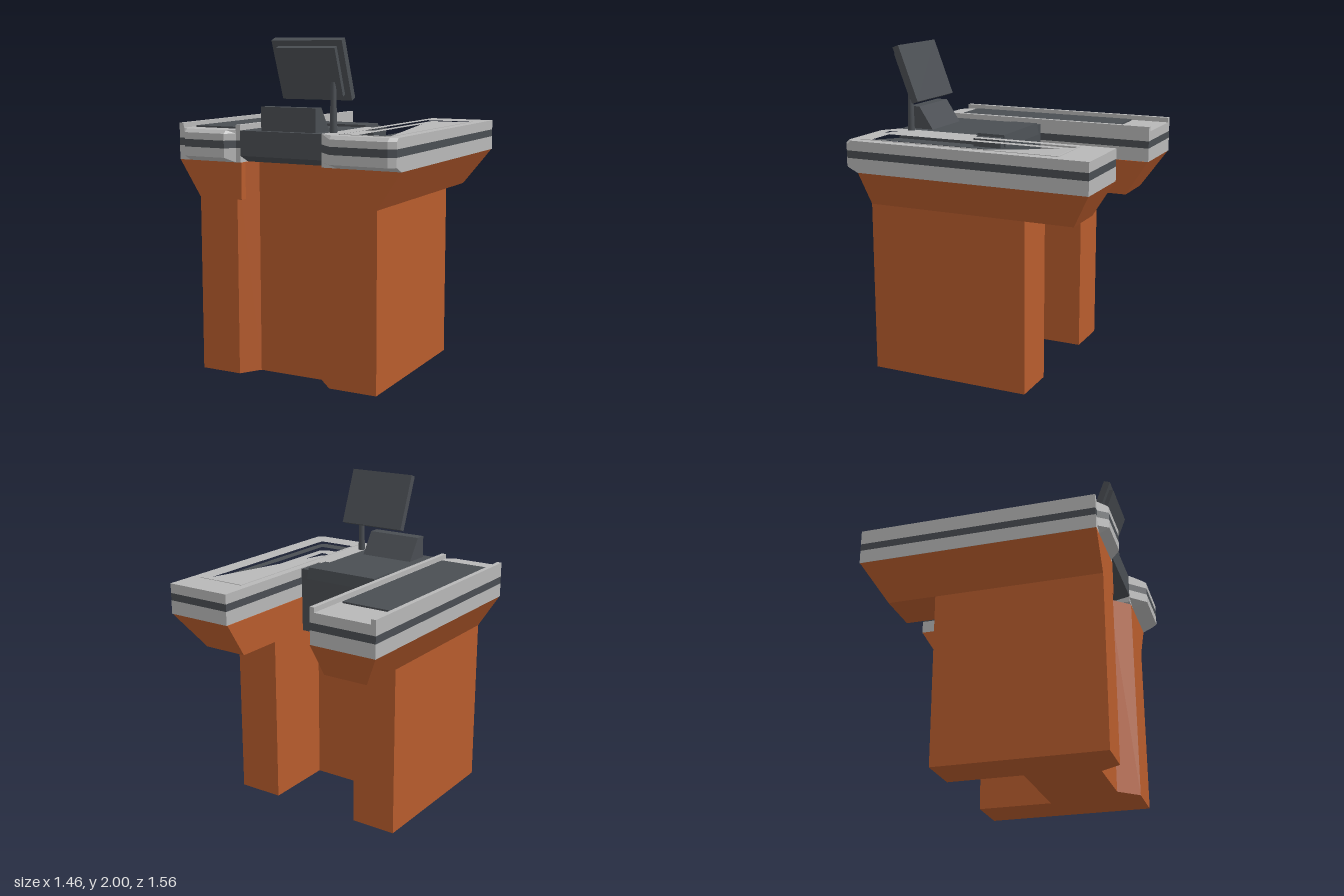
import * as THREE from 'three';

const paint = (name, color) => {
  const m = new THREE.MeshStandardMaterial({ color });
  m.name = name;
  return m;
};

export function createModel() {
  const orange = paint('orange panel', 0xb85c2d);
  const gray = paint('light gray', 0xb8b8b8);
  const dark = paint('dark gray', 0x4a4e53);
  const root = new THREE.Group();
  root.name = 'checkoutCounter';

  const add = (name, geo, mat, parent = root) => {
    const mesh = new THREE.Mesh(geo, mat);
    mesh.name = name;
    parent.add(mesh);
    return mesh;
  };
  const box = (name, x0, x1, y0, y1, z0, z1, mat) => {
    const mesh = add(name, new THREE.BoxGeometry(x1 - x0, y1 - y0, z1 - z0), mat);
    mesh.position.set((x0 + x1) / 2, (y0 + y1) / 2, (z0 + z1) / 2);
    return mesh;
  };
  const rect = (x0, x1, z0, z1) => [[x0, z0], [x1, z0], [x1, z1], [x0, z1]];
  const toPoints = (pts) => pts.map(([x, z]) => new THREE.Vector2(x, -z));

  // Upright prism over an [x, z] outline; rule(v, atTop) may shift its corners
  const slab = (name, pts, y0, y1, mat, { hole, rule } = {}) => {
    const shape = new THREE.Shape(toPoints(pts));
    if (hole) shape.holes.push(new THREE.Path(toPoints(hole)));
    const geo = new THREE.ExtrudeGeometry(shape, { depth: y1 - y0, bevelEnabled: false });
    geo.rotateX(-Math.PI / 2).translate(0, y0, 0);
    if (rule) {
      const p = geo.attributes.position;
      const v = new THREE.Vector3();
      for (let i = 0; i < p.count; i++) {
        v.fromBufferAttribute(p, i);
        rule(v, v.y > (y0 + y1) / 2);
        p.setXYZ(i, v.x, v.y, v.z);
      }
      geo.computeVertexNormals();
    }
    return add(name, geo, mat);
  };

  // U-shaped pedestal with a recessed front
  slab('pedestal', [
    [-0.585, -0.34], [-0.295, -0.34], [-0.295, 0.12], [0.295, 0.12], [0.295, -0.34], [0.585, -0.34],
    [0.585, 0.68], [0.285, 0.68], [0.17, 0.56], [-0.245, 0.56], [-0.325, 0.68], [-0.585, 0.68],
  ], 0, 1.28, orange);

  // Flared supports below both counters
  for (const s of [-1, 1]) {
    slab(s < 0 ? 'beltFlare' : 'trayFlare', rect(s * 0.295, s * 0.728, -0.778, 0.68), 1.06, 1.28, orange, {
      rule: (v, top) => {
        if (top) return;
        if (Math.abs(v.x) > 0.5) v.x = s * 0.585;
        if (v.z < 0) v.z = -0.64;
      },
    });
  }

  // Counter slabs: sloped lower edge, dark stripe band, bevelled upper edge
  const counter = (name, pts, hole) => {
    slab(name + 'Underside', pts, 1.28, 1.31, gray, {
      hole, rule: (v, top) => { if (!top && v.z > 0.68) v.z = 0.68; },
    });
    slab(name + 'Lower', pts, 1.31, 1.365, gray, { hole });
    slab(name + 'Stripe', pts, 1.365, 1.41, dark, { hole });
    slab(name + 'Upper', pts, 1.41, 1.45, gray, { hole });
    slab(name + 'Top', pts, 1.45, 1.47, gray, {
      hole, rule: (v, top) => { if (top && v.z > 0.7) v.z -= 0.025; },
    });
  };
  counter('beltCounter', [
    [-0.73, -0.78], [-0.3, -0.78], [-0.3, 0.68], [-0.33, 0.68], [-0.375, 0.74], [-0.65, 0.74], [-0.695, 0.68], [-0.73, 0.68],
  ]);
  counter('trayCounter', [
    [0.3, -0.78], [0.73, -0.78], [0.73, 0.745], [0.69, 0.778], [0.34, 0.778],
    [0.24, 0.68], [0.24, 0.13], [0.3, 0.13],
  ], rect(0.35, 0.67, -0.58, 0.69));

  // Conveyor belt between side rails
  box('conveyorBelt', -0.67, -0.352, 1.45, 1.48, -0.54, 0.59, dark);
  for (const x of [-0.715, -0.315]) box('beltRail', x - 0.015, x + 0.015, 1.46, 1.5, -0.78, 0.68, gray);

  // Bagging tray: inner walls and a floor sloping down to the front
  slab('trayLiner', rect(0.35, 0.67, -0.58, 0.69), 1.29, 1.473, gray, { hole: rect(0.362, 0.658, -0.568, 0.678) });
  slab('trayFloor', rect(0.355, 0.665, -0.575, 0.685), 1.29, 1.46, gray, {
    rule: (v, top) => { if (top && v.z > 0) v.y = 1.35; },
  });

  // Central desk and the scanner housing behind it
  slab('deskTop', rect(-0.305, 0.245, -0.05, 0.68), 1.32, 1.468, dark);
  slab('deskUnderside', rect(-0.305, 0.245, 0.1, 0.68), 1.28, 1.32, dark, {
    rule: (v, top) => {
      if (top) return;
      if (v.z > 0.5) v.z = 0.6;
      if (v.x > 0) v.x = 0.2;
    },
  });
  box('scannerHousing', -0.298, 0.298, 1.06, 1.466, -0.05, 0.13, dark);
  slab('scannerTop', rect(-0.25, 0.25, -0.06, 0.13), 1.41, 1.482, dark, {
    rule: (v, top) => {
      if (!top) return;
      v.x *= 0.97;
      if (v.z < 0) v.z += 0.012;
    },
  });

  // Register with a sloping face towards the cashier
  slab('register', rect(-0.18, 0.18, 0.475, 0.64), 1.465, 1.608, dark, {
    rule: (v, top) => { if (top && v.z < 0.6) v.z = 0.57; },
  });

  // Monitor on a slim post
  const post = add('monitorPost', new THREE.CylinderGeometry(0.015, 0.022, 0.29, 16), dark);
  post.position.set(0.263, 1.61, 0.582);
  const monitor = new THREE.Group();
  monitor.name = 'monitor';
  monitor.position.set(0.125, 1.826, 0.566);
  monitor.rotation.x = 0.365;
  root.add(monitor);
  add('monitorPanel', new THREE.BoxGeometry(0.45, 0.36, 0.042), dark, monitor);
  const back = add('monitorBack', new THREE.BoxGeometry(0.375, 0.29, 0.03), dark, monitor);
  back.position.z = 0.034;

  return root;
}
